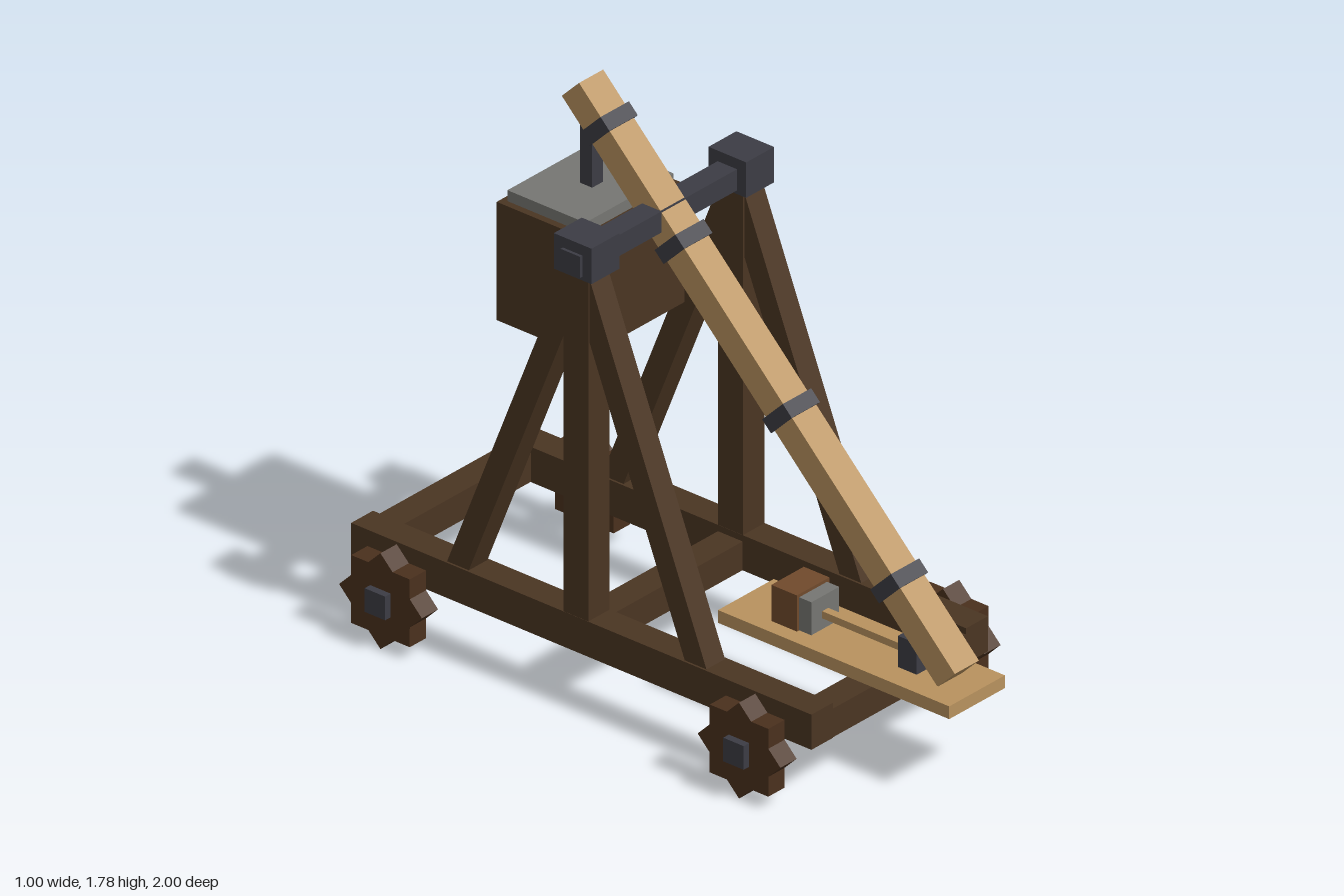
import * as THREE from 'three';

const mat = (name, color) => {
  const m = new THREE.MeshStandardMaterial({ color });
  m.name = name;
  return m;
};

export function createModel() {
  const wood = mat('darkWood', 0x4a3522);
  const wheelWood = mat('wheelWood', 0x4a301d);
  const paleWood = mat('paleWood', 0xb8925e);
  const iron = mat('iron', 0x3c3c44);
  const stone = mat('stone', 0x767672);
  const redWood = mat('redWood', 0x704a2c);

  const model = new THREE.Group();
  model.name = 'trebuchet';

  // Box given by its low and high corner
  const box = (name, m, x0, x1, y0, y1, z0, z1, parent = model) => {
    const mesh = new THREE.Mesh(new THREE.BoxGeometry(x1 - x0, y1 - y0, z1 - z0), m);
    mesh.position.set((x0 + x1) / 2, (y0 + y1) / 2, (z0 + z1) / 2);
    mesh.name = name;
    parent.add(mesh);
    return mesh;
  };

  // Beam in the y-z plane between two points [y, z]
  const beam = (name, m, x, width, depth, [ya, za], [yb, zb]) => {
    const len = Math.hypot(yb - ya, zb - za);
    const mesh = new THREE.Mesh(new THREE.BoxGeometry(width, len, depth), m);
    mesh.position.set(x, (ya + yb) / 2, (za + zb) / 2);
    mesh.rotation.x = Math.atan2(zb - za, yb - ya);
    mesh.name = name;
    model.add(mesh);
    return mesh;
  };

  // Eight-pointed wheel: outline of two crossed squares
  const star = new THREE.Shape();
  for (let i = 0; i < 16; i++) {
    const a = (i * Math.PI) / 8;
    const r = i % 2 ? 0.118 : 0.154;
    star[i ? 'lineTo' : 'moveTo'](r * Math.cos(a), r * Math.sin(a));
  }
  star.closePath();
  const wheelGeo = new THREE.ExtrudeGeometry(star, { depth: 0.07, bevelEnabled: false });
  wheelGeo.translate(0, 0, -0.035).rotateY(Math.PI / 2);

  // Base frame, uprights and wheels on both sides
  const axisZ = -0.165;
  for (const s of [-1, 1]) {
    const side = s > 0 ? 'left' : 'right';
    const x = s * 0.333;
    box(side + 'Rail', wood, x - 0.047, x + 0.047, 0.187, 0.3, -1, 0.712);
    box(side + 'Post', wood, x - 0.046, x + 0.046, 0.29, 1.42, axisZ - 0.046, axisZ + 0.046);
    beam(side + 'FrontStrut', wood, x, 0.08, 0.075, [0.26, 0.291], [1.41, axisZ]);
    beam(side + 'BackStrut', wood, x, 0.08, 0.075, [0.26, -0.625], [1.41, axisZ]);
    box(side + 'BearingBlock', iron, x - 0.06, x + 0.06, 1.398, 1.512, axisZ - 0.07, axisZ + 0.07);
    for (const [end, z] of [['Front', 0.524], ['Back', -0.81]]) {
      const wheel = new THREE.Group();
      wheel.name = side + end + 'Wheel';
      wheel.position.set(s * 0.439, 0.156, z);
      const rim = new THREE.Mesh(wheelGeo, wheelWood);
      rim.name = 'wheelRim';
      wheel.add(rim);
      box('hub', iron, -0.059, 0.059, -0.038, 0.038, -0.038, 0.038, wheel);
      model.add(wheel);
    }
  }
  for (const [name, z] of [['frontCrossbeam', 0.665], ['middleCrossbeam', axisZ], ['backCrossbeam', -0.953]]) {
    box(name, wood, -0.29, 0.29, 0.188, 0.28, z - 0.046, z + 0.046);
  }

  // Pivot bar
  box('pivotBar', iron, -0.403, 0.403, 1.41, 1.478, axisZ - 0.036, axisZ + 0.036);

  // Throwing arm at 45 degrees with iron bands
  beam('throwingArm', paleWood, 0, 0.104, 0.091, [0.352, 0.93], [1.748, -0.468]);
  for (const z of [0.71, 0.308, -0.092, -0.37]) {
    const y = 1.281 - z;
    const d = 0.0165;
    beam('armBand', iron, 0, 0.122, 0.109, [y - d, z + d], [y + d, z - d]);
  }

  // Counterweight with stone fill and hanger
  box('counterweightBox', wood, -0.213, 0.213, 1.025, 1.405, -0.603, -0.272);
  box('counterweightStone', stone, -0.19, 0.19, 1.4, 1.44, -0.583, -0.293);
  box('counterweightHanger', iron, -0.023, 0.023, 1.43, 1.7, -0.457, -0.412);

  // Launching trough with sling and projectile
  box('trough', paleWood, -0.12, 0.12, 0.281, 0.322, 0.14, 1);
  box('slingHook', iron, -0.04, 0.04, 0.32, 0.422, 0.74, 0.81);
  box('slingRope', paleWood, -0.013, 0.013, 0.357, 0.38, 0.42, 0.76);
  box('slingStone', stone, -0.06, 0.06, 0.32, 0.428, 0.385, 0.435);
  box('slingPouch', redWood, -0.07, 0.07, 0.32, 0.438, 0.295, 0.39);

  return model;
}
